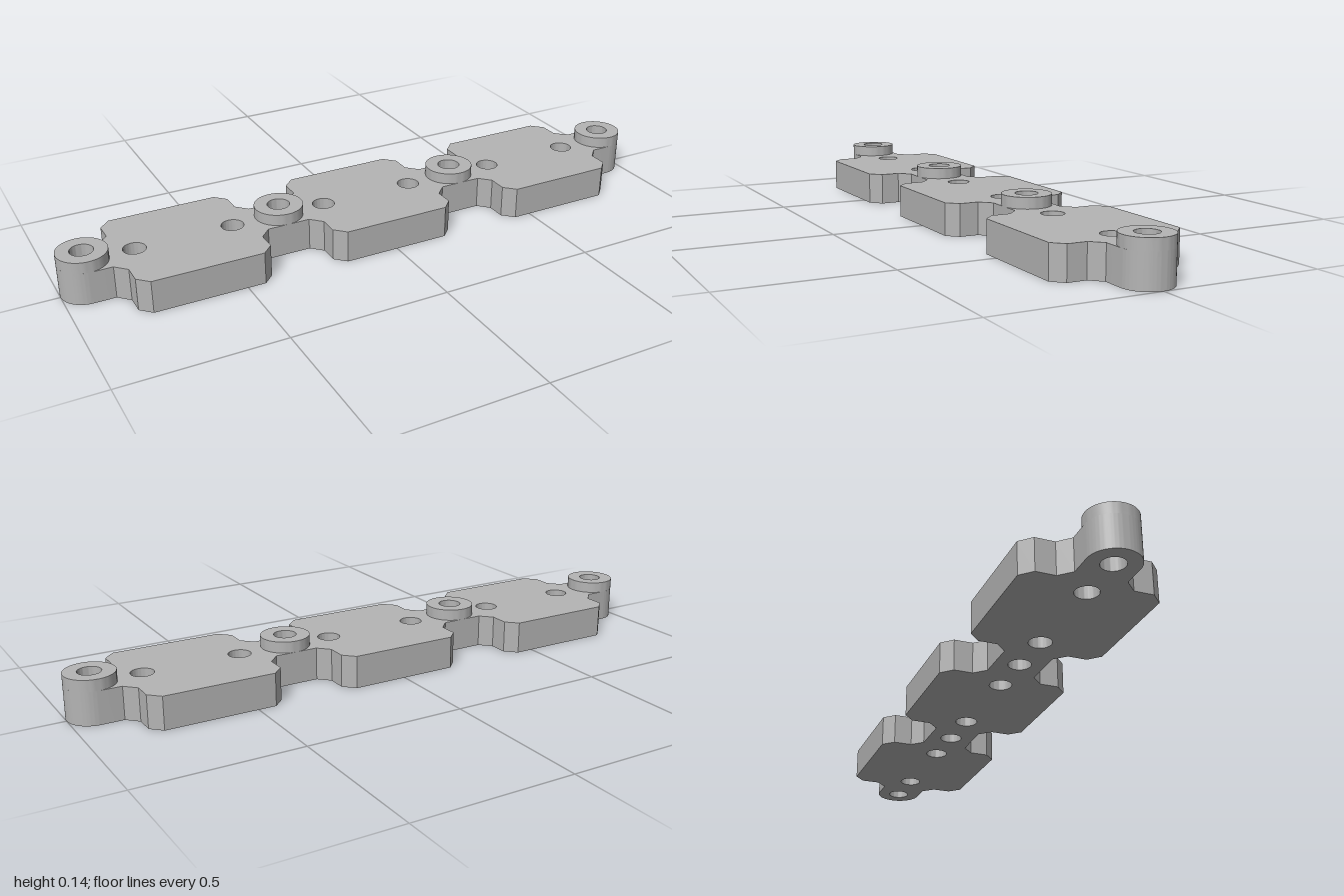
import * as THREE from 'three';
import { toCreasedNormals } from 'three/addons/utils/BufferGeometryUtils.js';

const PITCH = 0.616;        // spacing of the plates
const PLATE_H = 0.102;      // height of the plates
const BOSS_H = 0.137;       // height of the raised rings
const BOSS_R = 0.076;
const HOLE_R = 0.035;
const BOSS_X = [-1.5, -0.5, 0.5, 1.5].map((k) => k * PITCH);
const PLATE_X = [-PITCH, 0, PITCH];

const circleHole = (x) => new THREE.Path().absarc(x, 0, HOLE_R, 0, Math.PI * 2, true);

// Extrude a plan shape upward, with smooth round walls and sharp corners
function extrudeUp(shape, height) {
  const geometry = new THREE.ExtrudeGeometry(shape, { depth: height, bevelEnabled: false, curveSegments: 32 });
  geometry.rotateX(-Math.PI / 2);
  return toCreasedNormals(geometry, 0.5);
}

// Three chamfered plates joined by narrow necks, with rounded ends
function stripShape() {
  const half = [[-0.24, BOSS_R], [-0.206, 0.111], [-0.206, 0.171], [-0.172, 0.205]];
  const plate = [...half, ...half.map(([x, z]) => [-x, z]).reverse()];
  const edge = PLATE_X.flatMap((cx) => plate.map(([x, z]) => [cx + x, z]));

  const shape = new THREE.Shape();
  shape.absarc(BOSS_X[3], 0, BOSS_R, -Math.PI / 2, Math.PI / 2, false);
  [...edge].reverse().forEach(([x, z]) => shape.lineTo(x, z));
  shape.absarc(BOSS_X[0], 0, BOSS_R, Math.PI / 2, Math.PI * 1.5, false);
  edge.forEach(([x, z]) => shape.lineTo(x, -z));

  // Holes through the joints and two through each plate
  const plateHoles = PLATE_X.flatMap((x) => [x - PITCH / 4, x + PITCH / 4]);
  [...BOSS_X, ...plateHoles].forEach((x) => shape.holes.push(circleHole(x)));
  return shape;
}

export function createModel() {
  const group = new THREE.Group();
  group.name = 'linkedPlateStrip';
  const grey = new THREE.MeshStandardMaterial({ color: 0xb4b4b4 });
  grey.name = 'grey';

  const strip = new THREE.Mesh(extrudeUp(stripShape(), PLATE_H), grey);
  strip.name = 'plateStrip';
  group.add(strip);

  // Raised rings around the joint holes
  const ring = new THREE.Shape().absarc(0, 0, BOSS_R, 0, Math.PI * 2, false);
  ring.holes.push(circleHole(0));
  const ringGeometry = extrudeUp(ring, BOSS_H - PLATE_H);
  BOSS_X.forEach((x, i) => {
    const boss = new THREE.Mesh(ringGeometry, grey);
    boss.name = `jointRing${i + 1}`;
    boss.position.set(x, PLATE_H, 0);
    group.add(boss);
  });

  return group;
}
